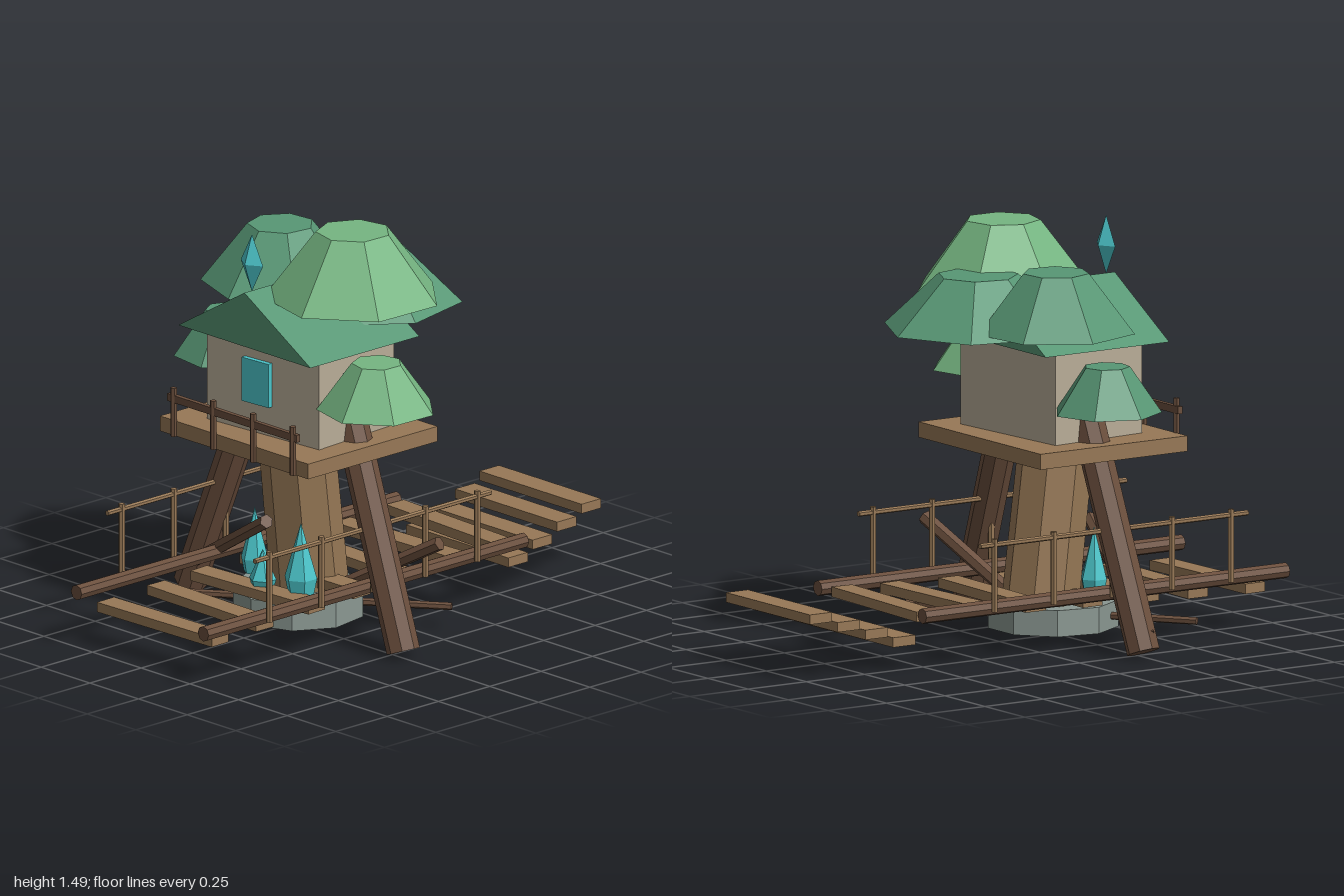
import * as THREE from 'three';

const mat = (name, color) => {
  const m = new THREE.MeshStandardMaterial({ color, flatShading: true });
  m.name = name;
  return m;
};

export function createModel() {
  const lightWood = mat('light wood', 0x977856);
  const darkWood = mat('dark wood', 0x6b4f3d);
  const plaster = mat('plaster', 0xb9ad98);
  const darkLeaf = mat('dark green', 0x589775);
  const lightLeaf = mat('light green', 0x76b682);
  const stone = mat('stone', 0x8b9892);
  const cyan = mat('cyan', 0x4cc6cb);

  const model = new THREE.Group();
  const CX = -0.008; // middle of the structure
  const CZ = 0.225;

  const add = (name, geo, material, x = 0, y = 0, z = 0, parent = model) => {
    const m = new THREE.Mesh(geo, material);
    m.name = name;
    m.position.set(x, y, z);
    parent.add(m);
    return m;
  };
  const box = (name, w, h, d, material, x, y, z, parent) =>
    add(name, new THREE.BoxGeometry(w, h, d), material, x, y, z, parent);

  // round timber between two points
  const log = (name, a, b, r, material, sides = 6, rTop = r) => {
    const from = new THREE.Vector3(...a), to = new THREE.Vector3(...b);
    const dir = to.clone().sub(from);
    const m = add(name, new THREE.CylinderGeometry(rTop, r, dir.length(), sides), material);
    m.position.copy(from).add(to).multiplyScalar(0.5);
    m.quaternion.setFromUnitVectors(new THREE.Vector3(0, 1, 0), dir.normalize());
    return m;
  };

  // stone footing and leaning trunk
  add('footing', new THREE.CylinderGeometry(0.235, 0.235, 0.095, 9), stone, CX, 0.088, 0.222);
  log('trunk', [-0.02, 0.03, 0.15], [-0.003, 0.72, 0.245], 0.14, lightWood, 8, 0.135);
  log('footingRod', [-0.44, 0.087, 0.545], [0.43, 0.087, -0.105], 0.014, darkWood);

  // splayed legs, braces and the beam that carries the side foliage
  log('leftLegLog', [-0.55, 0.025, 0.24], [-0.215, 0.905, 0.205], 0.06, darkWood, 8);
  log('rightLegLog', [0.545, 0.025, 0.24], [0.205, 0.905, 0.205], 0.06, darkWood, 8);
  log('frontBrace', [-0.565, 0.085, 0.25], [-0.005, 0.41, 0.385], 0.026, darkWood);
  log('backBrace', [-0.05, 0.05, 0.17], [0.51, 0.37, 0.03], 0.026, darkWood);
  log('foliageBeam', [-0.445, 0.915, 0.215], [0.425, 0.915, 0.215], 0.05, lightWood, 8);

  // walkway: two long logs with crooked planks
  for (const x of [-0.333, 0.319]) {
    log('walkwayLog', [x, 0.205, -0.56], [x, 0.205, 1], 0.028, darkWood, 8);
  }
  const turns = [0.03, -0.02, 0.06, 0.02, -0.03, 0.04, -0.05];
  turns.forEach((turn, i) => {
    const plank = box('plank', 0.572, 0.036, 0.085, lightWood,
      CX, 0.147 + i * 0.008, 0.887 - i * 0.231);
    plank.rotation.y = turn;
  });

  // steps rising behind the walkway
  for (let i = 0; i < 4; i++) {
    box('step', 0.525, 0.035, 0.095, lightWood, CX, 0.109 + i * 0.04, -0.594 - i * 0.119);
  }

  // walkway railings
  for (const x of [-0.388, 0.37]) {
    log('walkwayRail', [x, 0.442, -0.35], [x, 0.442, 0.798], 0.01, lightWood);
    for (let i = 0; i < 5; i++) {
      const z = 0.727 - i * 0.2535;
      log('walkwayPost', [x, 0.2, z], [x, 0.462, z], 0.012, lightWood);
    }
  }

  // platform and its front railing
  box('platform', 0.762, 0.056, 0.63, lightWood, CX, 0.718, CZ);
  box('platformRail', 0.665, 0.027, 0.018, darkWood, CX, 0.83, 0.542);
  for (let i = 0; i < 4; i++) {
    const x = -0.313 + i * 0.204;
    log('platformPost', [x, 0.69, 0.545], [x, 0.87, 0.545], 0.012, darkWood);
  }

  // slightly turned cabin with a front and a side window
  const cabin = new THREE.Group();
  cabin.name = 'cabin';
  cabin.position.set(0, 0, 0.224);
  cabin.rotation.y = 0.075;
  model.add(cabin);
  box('walls', 0.535, 0.345, 0.393, plaster, 0, 0.915, 0, cabin);
  box('frontWindow', 0.128, 0.162, 0.025, cyan, -0.022, 0.938, 0.203, cabin);
  box('sideWindow', 0.02, 0.13, 0.11, cyan, 0.272, 0.935, 0.015, cabin);

  // gable roof
  const gable = new THREE.Shape([
    new THREE.Vector2(-0.34, 0), new THREE.Vector2(0.34, 0), new THREE.Vector2(0, 0.2),
  ]);
  add('roof', new THREE.ExtrudeGeometry(gable, { depth: 0.53, bevelEnabled: false }),
    darkLeaf, CX, 1.082, -0.04);

  // foliage domes: x, base y, z, radius, height, turn
  const domes = [
    ['leftCrown', -0.295, 1.16, 0.04, 0.285, 0.212, 0.1, darkLeaf],
    ['rightCrown', 0.185, 1.24, 0.142, 0.32, 0.24, 0.2, lightLeaf],
    ['backCrown', 0.01, 1.14, -0.085, 0.345, 0.19, Math.PI, darkLeaf],
    ['leftTuft', -0.445, 0.88, 0.155, 0.195, 0.165, 0.3, darkLeaf],
    ['rightTuft', 0.42, 0.9, 0.25, 0.215, 0.17, 0.2, lightLeaf],
  ];
  for (const [name, x, y, z, r, h, turn, material] of domes) {
    const dome = add(name, new THREE.CylinderGeometry(r * 0.42, r, h, 7), material, x, y + h / 2, z);
    dome.rotation.y = turn;
  }

  // crystal on the ridge
  const gem = add('ridgeCrystal', new THREE.OctahedronGeometry(1), cyan, CX, 1.385, 0.453);
  gem.scale.set(0.057, 0.106, 0.035);

  // crystals growing around the trunk: x, z, radius, height
  const crystals = [[-0.155, 0.3, 0.05, 0.24], [0.135, 0.35, 0.06, 0.26], [CX, 0.4, 0.05, 0.14]];
  for (const [x, z, r, h] of crystals) {
    const profile = [[0, 0], [r * 0.8, 0], [r, h * 0.22], [0, h]].map((p) => new THREE.Vector2(...p));
    add('groundCrystal', new THREE.LatheGeometry(profile, 6), cyan, x, 0.17, z);
  }

  return model;
}
